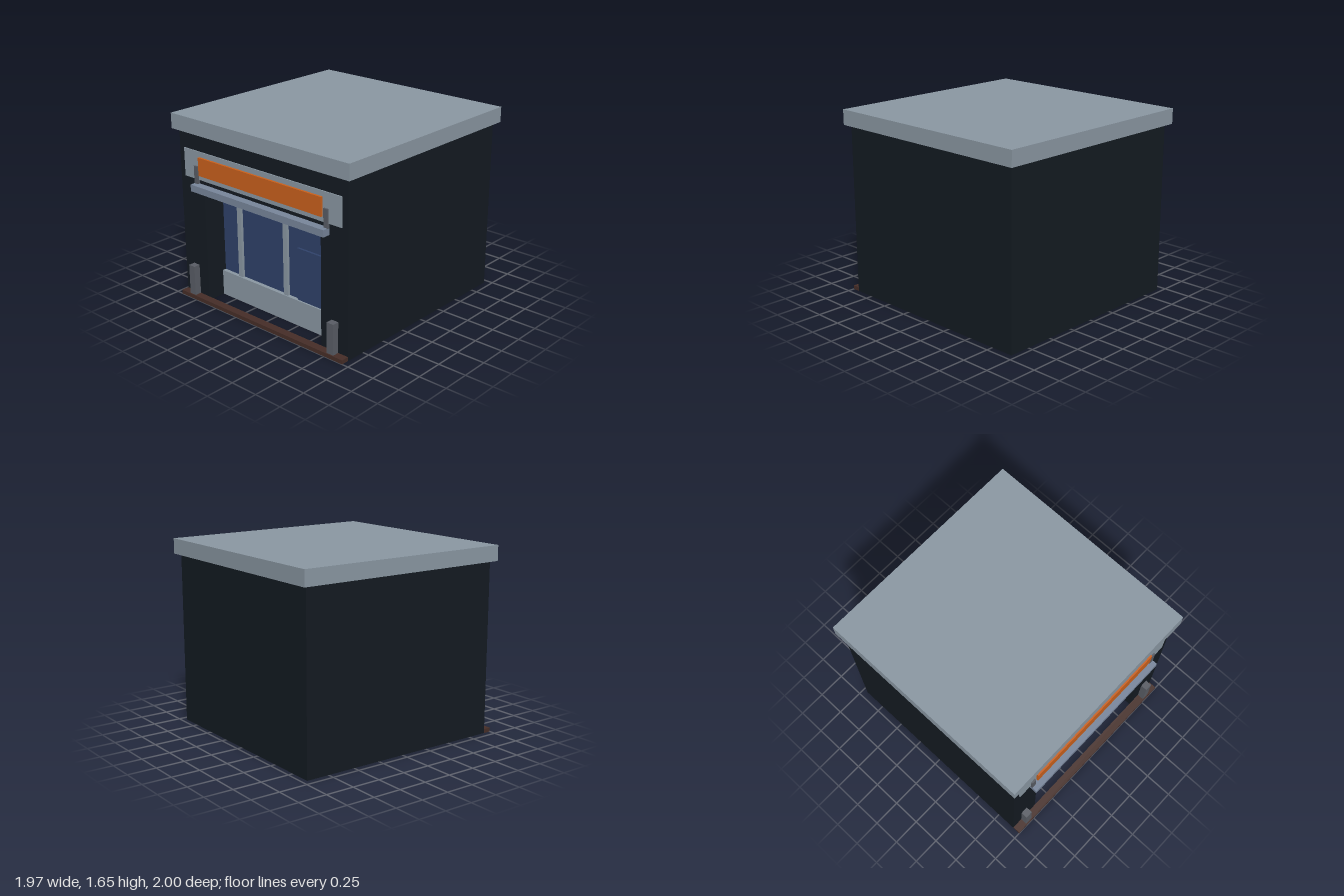
import * as THREE from 'three';

const mat = (color) => new THREE.MeshStandardMaterial({ color, flatShading: true });
const WALL = mat(0x131a21), GREY = mat(0x8996a1), CANOPY = mat(0x77859a), BLUE = mat(0x2f4169),
  ORANGE = mat(0xc8601c), POST = mat(0x585c64), STEP = mat(0x452d27);

export function createModel() {
  const model = new THREE.Group();

  // Box given by its limits on each axis
  const box = (name, material, [x0, x1], [y0, y1], [z0, z1]) => {
    const mesh = new THREE.Mesh(new THREE.BoxGeometry(x1 - x0, y1 - y0, z1 - z0), material);
    mesh.position.set((x0 + x1) / 2, (y0 + y1) / 2, (z0 + z1) / 2);
    mesh.name = name;
    model.add(mesh);
  };
  const span = (half) => [-half, half];

  // Main block, with a front wall notched for the shop entrance
  const backZ = 0.72, frontZ = 0.93;
  box('building', WALL, span(0.94), [0, 1.515], [-0.955, backZ]);
  const outline = new THREE.Shape([
    [-0.94, 0], [-0.66, 0], [-0.66, 1.03], [0.66, 1.03],
    [0.66, 0], [0.94, 0], [0.94, 1.515], [-0.94, 1.515],
  ].map(([x, y]) => new THREE.Vector2(x, y)));
  const frontWall = new THREE.Mesh(
    new THREE.ExtrudeGeometry(outline, { depth: frontZ - backZ, bevelEnabled: false }), WALL);
  frontWall.position.z = backZ;
  frontWall.name = 'frontWall';
  model.add(frontWall);

  // Roof slab and front step
  box('roof', GREY, span(0.985), [1.515, 1.65], [-1, 0.975]);
  box('frontStep', STEP, span(0.94), [0, 0.035], [frontZ, 1]);

  // Recessed shop window
  box('window', BLUE, span(0.66), [0.2, 1.03], [backZ, 0.725]);
  box('lowerPanel', GREY, span(0.66), [0, 0.23], [backZ, 0.76]);
  box('door', BLUE, [0.23, 0.62], [0.01, 0.695], [backZ, 0.745]);
  for (const x of [-0.442, 0.098])
    box('mullion', GREY, [x - 0.023, x + 0.023], [0.23, 1.03], [backZ, 0.75]);
  box('windowSign', ORANGE, span(0.595), [0.905, 0.99], [backZ, 0.755]);

  // Sign board and canopy
  box('signBoard', GREY, span(0.88), [1.11, 1.36], [frontZ, 0.94]);
  box('signPanel', ORANGE, span(0.69), [1.155, 1.315], [0.935, 0.96]);
  box('canopy', CANOPY, span(0.75), [1.015, 1.075], [frontZ, 1]);

  // Canopy brackets and bollards on both sides
  for (const s of [-1, 1]) {
    const at = (c, half) => [s * c - half, s * c + half];
    box('canopyBracket', POST, at(0.73, 0.02), [1.07, 1.23], [frontZ, 0.955]);
    box('bollard', POST, at(0.805, 0.034), [0.035, 0.305], [frontZ, 0.99]);
  }
  return model;
}
